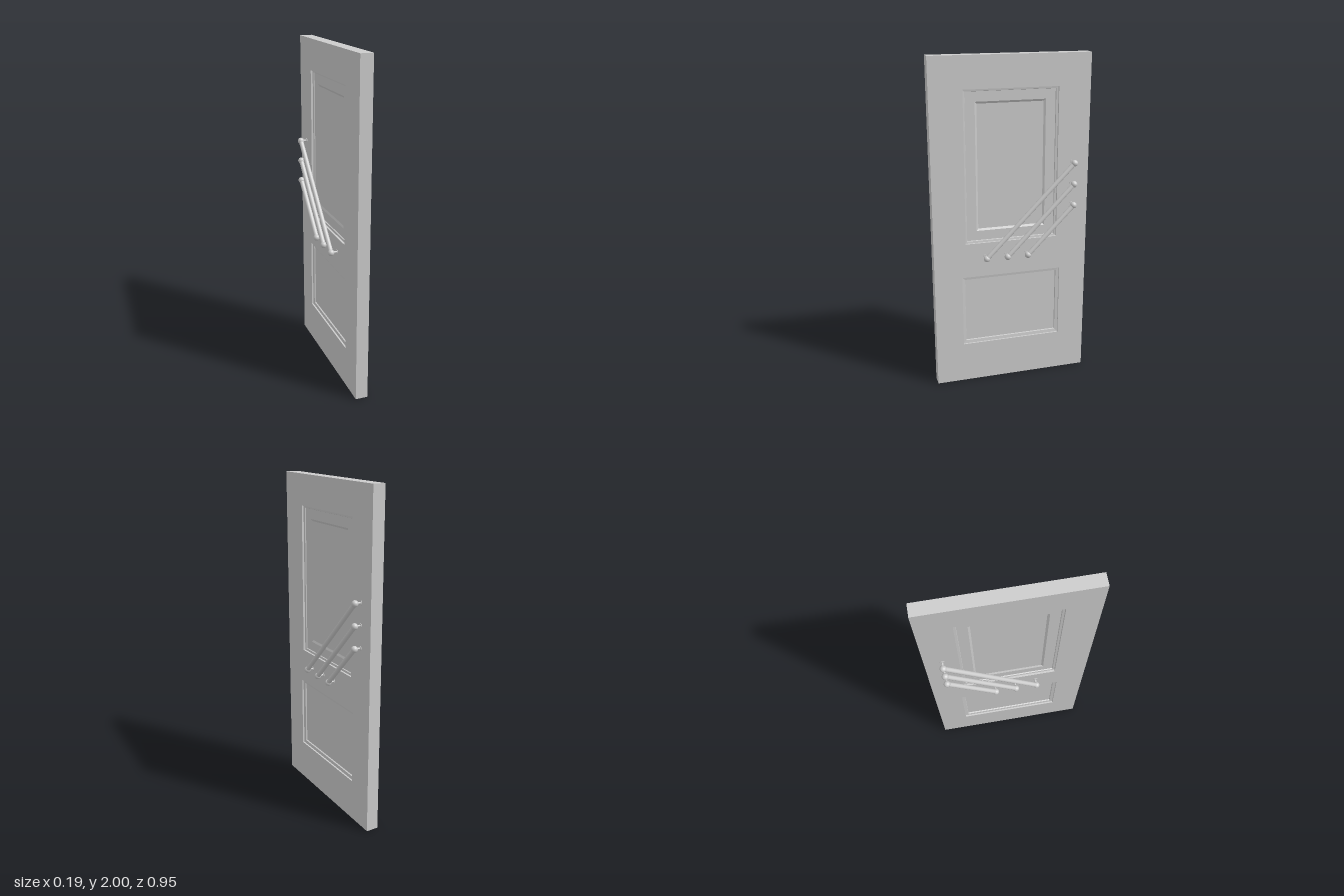
import * as THREE from 'three';

const HALF_T = 0.037, HALF_W = 0.475, HEIGHT = 2;
const material = new THREE.MeshStandardMaterial({ color: 0xcccccc });

// Panel openings: half width, bottom, top and moulding profile as [inset, depth]
const PANELS = [
  { name: 'upperPanel', w: 0.282, y0: 0.907, y1: 1.814,
    profile: [[0, 0], [0, 0.012], [0.012, 0.014], [0.014, 0.02], [0.072, 0.02], [0.084, 0.027]] },
  { name: 'lowerPanel', w: 0.307, y0: 0.25, y1: 0.695,
    profile: [[0, 0], [0, 0.01], [0.019, 0.013], [0.021, 0.021]] },
];

function mesh(name, geometry) {
  const m = new THREE.Mesh(geometry, material);
  m.name = name;
  return m;
}

function rectPath(PathType, w, y0, y1) {
  const p = new PathType();
  p.moveTo(-w, y0).lineTo(w, y0).lineTo(w, y1).lineTo(-w, y1).closePath();
  return p;
}

// Recessed panel: nested rectangles stepped inwards, closed by a flat field
function panelGeometry({ w, y0, y1, profile }) {
  const rings = profile.map(([i, d]) => [
    [-w + i, y0 + i, HALF_T - d], [w - i, y0 + i, HALF_T - d],
    [w - i, y1 - i, HALF_T - d], [-w + i, y1 - i, HALF_T - d],
  ]);
  const pos = [];
  const quad = (a, b, c, d) => pos.push(...a, ...b, ...c, ...a, ...c, ...d);
  for (let r = 0; r < rings.length - 1; r++) {
    for (let k = 0; k < 4; k++) {
      const n = (k + 1) % 4;
      quad(rings[r][k], rings[r][n], rings[r + 1][n], rings[r + 1][k]);
    }
  }
  quad(...rings[rings.length - 1]);
  const g = new THREE.BufferGeometry();
  g.setAttribute('position', new THREE.Float32BufferAttribute(pos, 3));
  g.computeVertexNormals();
  return g;
}

function rod(name, a, b, radius) {
  const dir = b.clone().sub(a);
  const m = mesh(name, new THREE.CylinderGeometry(radius, radius, dir.length(), 24));
  m.position.copy(a).add(b).multiplyScalar(0.5);
  m.quaternion.setFromUnitVectors(new THREE.Vector3(0, 1, 0), dir.normalize());
  return m;
}

// One slanted pull bar with ball ends, posts and wall roses
function pullBar(side, zLow, yHigh) {
  const g = new THREE.Group();
  g.name = 'pullBar';
  const x = side * 0.075;
  const ends = [new THREE.Vector3(x, 0.818, zLow), new THREE.Vector3(x, yHigh, -0.375)];
  g.add(rod('bar', ends[0], ends[1], 0.014));
  for (const e of ends) {
    const ball = mesh('endBall', new THREE.SphereGeometry(0.0195, 24, 16));
    ball.position.copy(e);
    const onDoor = e.clone().setX(side * (HALF_T - 0.018));
    g.add(ball, rod('post', onDoor, e, 0.006));
    g.add(rod('rose', onDoor, e.clone().setX(side * (HALF_T + 0.003)), 0.014));
  }
  return g;
}

export function createModel() {
  const model = new THREE.Group();
  model.name = 'door';

  // Door leaf with the two panel openings
  const shape = rectPath(THREE.Shape, HALF_W, 0, HEIGHT);
  for (const p of PANELS) shape.holes.push(rectPath(THREE.Path, p.w, p.y0, p.y1));
  const leaf = new THREE.ExtrudeGeometry(shape, { depth: HALF_T * 2, bevelEnabled: false });
  leaf.translate(0, 0, -HALF_T).rotateY(Math.PI / 2);
  model.add(mesh('leaf', leaf));

  // Panels and pull bars on both faces
  for (const side of [1, -1]) {
    for (const p of PANELS) {
      model.add(mesh(p.name, panelGeometry(p).rotateY(side * Math.PI / 2)));
    }
    for (const [zLow, yHigh] of [[0.163, 1.365], [0.034, 1.237], [-0.092, 1.107]]) {
      model.add(pullBar(side, zLow, yHigh));
    }
  }
  return model;
}
